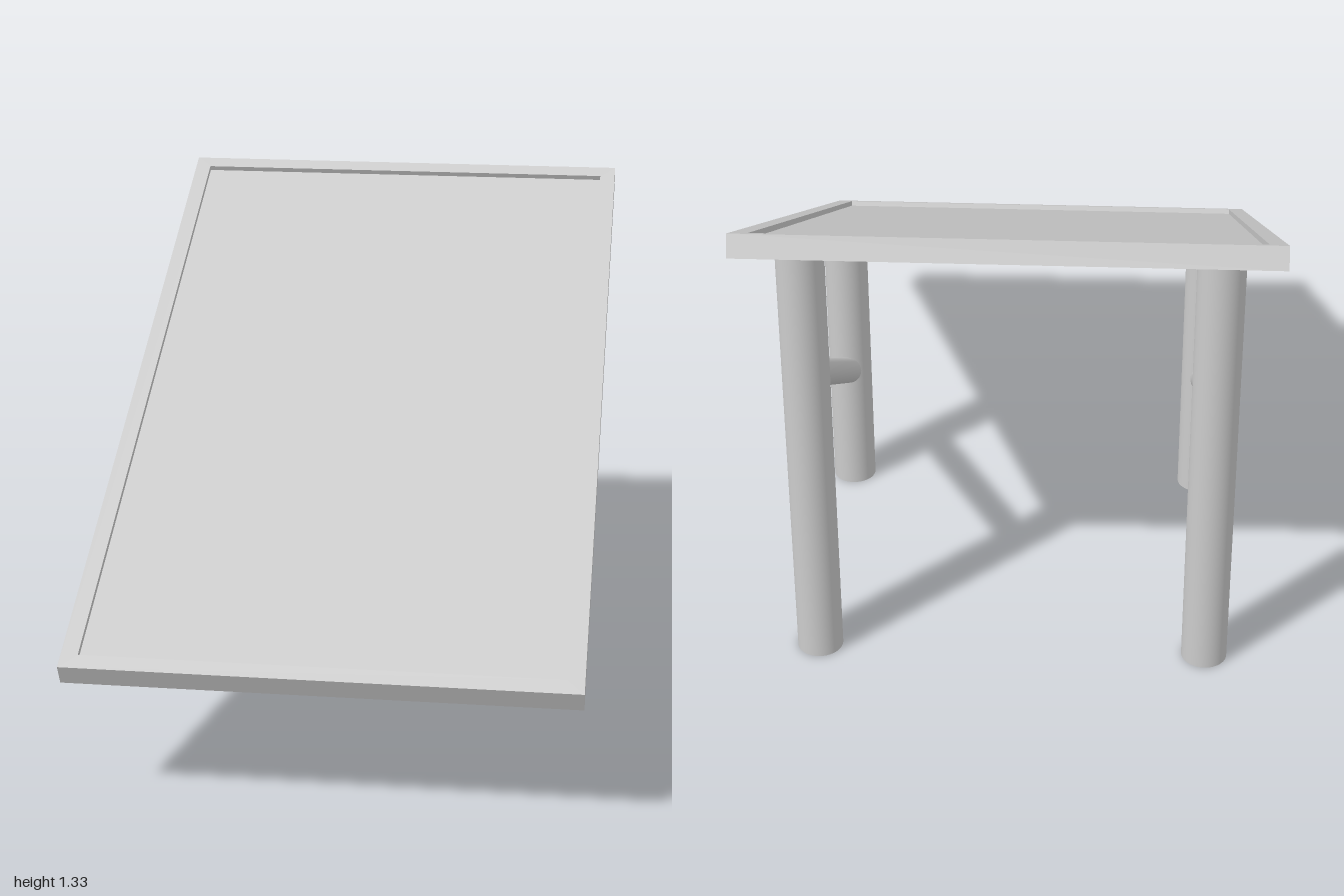
import * as THREE from 'three';

const TILT = THREE.MathUtils.degToRad(25);
const WIDTH = 1.34, LENGTH = 2.179, THICK = 0.06;
const RIM = 0.045, RECESS = 0.015;
const CENTRE_Y = 0.8425;
const LEG_X = 0.52, LEG_R = 0.061, REAR_Z = -0.833;

const material = new THREE.MeshStandardMaterial({ color: 0xcccccc });

function addMesh(parent, name, geometry) {
  const mesh = new THREE.Mesh(geometry, material);
  mesh.name = name;
  parent.add(mesh);
  return mesh;
}

// Height of the panel's underside at a given z
const undersideY = (z) => CENTRE_Y - THICK / 2 / Math.cos(TILT) - z * Math.tan(TILT);

function rectangle(path, w, h) {
  path.moveTo(-w / 2, -h / 2);
  path.lineTo(w / 2, -h / 2);
  path.lineTo(w / 2, h / 2);
  path.lineTo(-w / 2, h / 2);
  path.closePath();
  return path;
}

// Upright post whose top is mitred to the sloping panel
function legGeometry(z) {
  const geometry = new THREE.CylinderGeometry(LEG_R, LEG_R, 1, 48);
  const p = geometry.attributes.position;
  for (let i = 0; i < p.count; i++) {
    p.setY(i, p.getY(i) > 0 ? undersideY(z + p.getZ(i)) : 0);
  }
  return geometry;
}

// Round bar between two points
function addBar(parent, name, from, to, radius) {
  const bar = addMesh(parent, name, new THREE.CylinderGeometry(radius, radius, from.distanceTo(to), 32));
  bar.position.lerpVectors(from, to, 0.5);
  bar.quaternion.setFromUnitVectors(new THREE.Vector3(0, 1, 0), to.clone().sub(from).normalize());
}

export function createModel() {
  const model = new THREE.Group();
  model.name = 'tiltedPanel';

  // Sloping panel: raised frame around a slightly sunken face
  const panel = new THREE.Group();
  panel.name = 'panel';
  panel.position.y = CENTRE_Y;
  panel.rotation.x = TILT;
  model.add(panel);

  const outline = rectangle(new THREE.Shape(), WIDTH, LENGTH);
  outline.holes.push(rectangle(new THREE.Path(), WIDTH - 2 * RIM, LENGTH - 2 * RIM));
  const frame = new THREE.ExtrudeGeometry(outline, { depth: THICK, bevelEnabled: false });
  frame.translate(0, 0, -THICK / 2).rotateX(-Math.PI / 2);
  addMesh(panel, 'frame', frame);

  const face = addMesh(panel, 'panelFace',
    new THREE.BoxGeometry(WIDTH - 2 * RIM, THICK - RECESS, LENGTH - 2 * RIM));
  face.position.y = -RECESS / 2;

  // Two legs and a diagonal brace on each side
  for (const [side, x] of [['left', LEG_X], ['right', -LEG_X]]) {
    addMesh(model, side + 'FrontLeg', legGeometry(0)).position.set(x, 0, 0);
    addMesh(model, side + 'RearLeg', legGeometry(REAR_Z)).position.set(x, 0, REAR_Z);
    addBar(model, side + 'Brace',
      new THREE.Vector3(x, 0.375, -0.027), new THREE.Vector3(x, 0.842, -0.806), 0.037);
  }
  return model;
}
